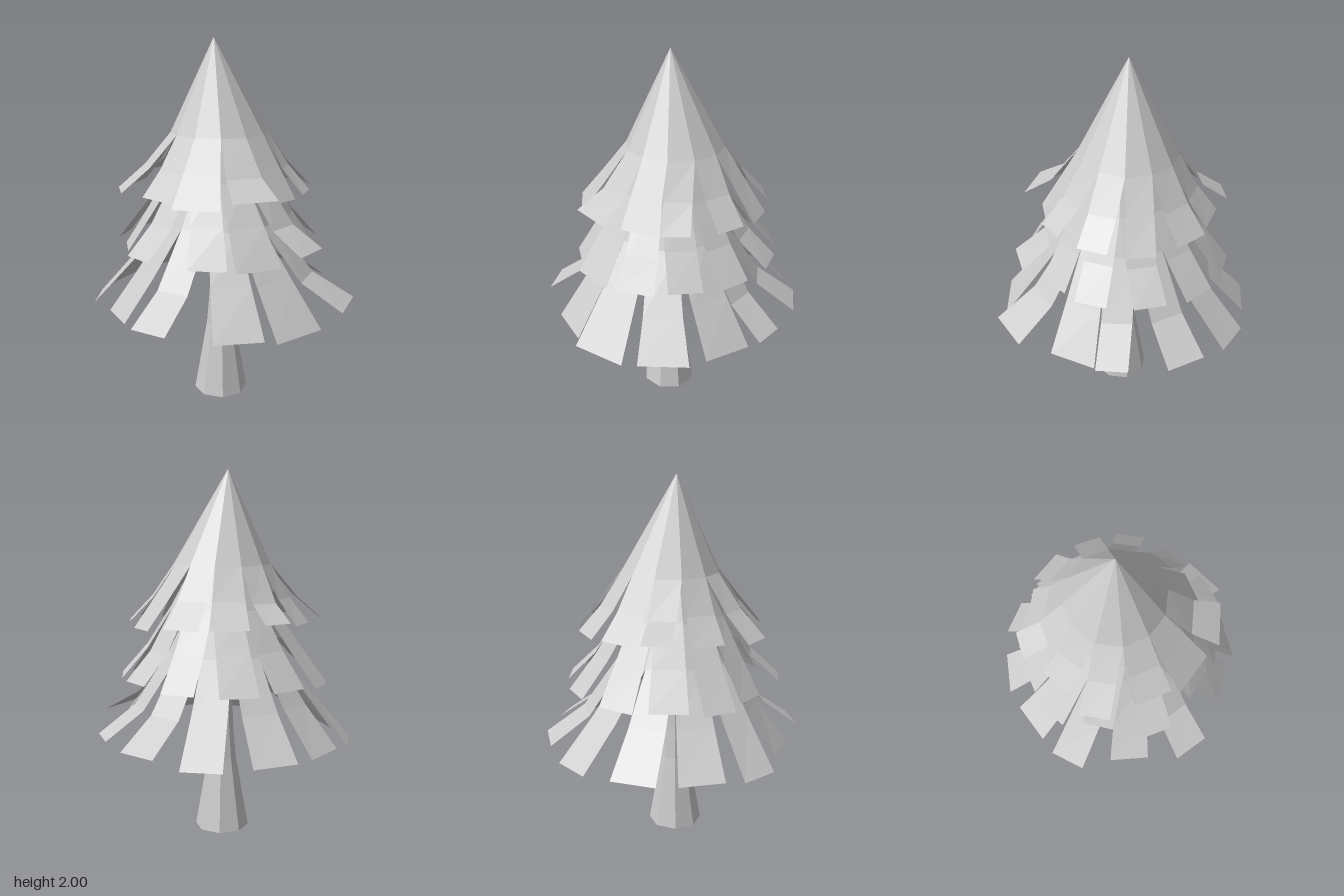
import * as THREE from 'three';

const material = new THREE.MeshStandardMaterial({
  color: 0xcccccc, flatShading: true, side: THREE.DoubleSide,
});
const SIDES = 12;

// Frond tips, from the front round to +x: [x, z, y] of the lower edge's middle, then its width
const topTips = [
  [0.075, 0.415, 1.18, 0.2], [0.27, 0.385, 1.2, 0.15], [0.47, 0.18, 1.2, 0.16],
  [0.515, -0.06, 1.18, 0.15], [0.42, -0.32, 1.2, 0.19], [0.22, -0.455, 1.2, 0.2],
  [0.005, -0.56, 1.23, 0.15], [-0.235, -0.43, 1.2, 0.18], [-0.465, -0.29, 1.2, 0.16],
  [-0.455, 0.03, 1.2, 0.2], [-0.385, 0.27, 1.18, 0.25], [-0.175, 0.48, 1.23, 0.24],
];
const middleTips = [
  [0.14, 0.565, 0.93, 0.21], [0.33, 0.38, 0.89, 0.18], [0.515, 0.195, 0.9, 0.17],
  [0.572, -0.105, 0.91, 0.17], [0.468, -0.37, 0.89, 0.18], [0.215, -0.545, 0.88, 0.2],
  [-0.06, -0.57, 0.89, 0.2], [-0.308, -0.505, 0.88, 0.175], [-0.44, -0.275, 0.88, 0.17],
  [-0.573, 0.028, 0.91, 0.165], [-0.365, 0.335, 0.88, 0.2], [-0.165, 0.5, 0.88, 0.245],
];
const bottomTips = [
  [-0.03, 0.66, 0.545, 0.3], [0.355, 0.64, 0.615, 0.26], [0.54, 0.3, 0.545, 0.26],
  [0.68, 0.1, 0.59, 0.17], [0.655, -0.29, 0.59, 0.215], [0.448, -0.575, 0.555, 0.21],
  [0.1, -0.695, 0.56, 0.24], [-0.238, -0.638, 0.555, 0.24], [-0.512, -0.49, 0.545, 0.2],
  [-0.605, -0.14, 0.55, 0.22], [-0.655, 0.222, 0.59, 0.205], [-0.32, 0.528, 0.545, 0.26],
];

// Each tier: an open cone, then one hanging frond per cone side
const tiers = [
  { name: 'topTier', apex: [-0.015, 2, -0.04], centre: [0.02, -0.035], ringY: 1.5, radius: 0.265,
    turn: 7, baseY: 1.18, tips: topTips },
  { name: 'middleTier', apex: [0, 1.8, -0.02], centre: [0.01, -0.02], ringY: 1.27, radius: 0.285,
    turn: 5, baseY: 0.88, tips: middleTips },
  { name: 'bottomTier', apex: [0, 1.6, 0], centre: [0, -0.01], ringY: 1.02, radius: 0.305,
    turn: -6, baseY: 0.545, tips: bottomTips },
];

function surface(points, faces, name) {
  const geometry = new THREE.BufferGeometry().setFromPoints(points);
  geometry.setIndex(faces);
  geometry.computeVertexNormals();
  const mesh = new THREE.Mesh(geometry, material);
  mesh.name = name;
  return mesh;
}

// Cone corner on the lower ring; half steps give the corners either side of a frond
function ringPoint(tier, step) {
  const a = THREE.MathUtils.degToRad(tier.turn) + (step * Math.PI * 2) / SIDES;
  return new THREE.Vector3(
    tier.centre[0] + tier.radius * Math.sin(a), tier.ringY,
    tier.centre[1] + tier.radius * Math.cos(a));
}

function createCone(tier) {
  const points = [new THREE.Vector3(...tier.apex)];
  const faces = [];
  for (let i = 0; i < SIDES; i++) {
    points.push(ringPoint(tier, i - 0.5));
    faces.push(0, 1 + i, 1 + ((i + 1) % SIDES));
  }
  return surface(points, faces, 'cone');
}

// Widening strip with one fold; the higher its tip, the more it flicks outward
function createFrond(tier, [x, z, y, width], i) {
  const top = [ringPoint(tier, i - 0.5), ringPoint(tier, i + 0.5)];
  const out = new THREE.Vector3(x - tier.centre[0], 0, z - tier.centre[1]).normalize();
  const across = new THREE.Vector3(out.z, 0, -out.x).multiplyScalar(width / 2);
  const tip = new THREE.Vector3(x, y, z);
  const low = [tip.clone().sub(across), tip.clone().add(across)];
  const drop = 0.5 + 3.5 * Math.min(y - tier.baseY, 0.05);
  const fold = top.map((p, k) => {
    const m = p.clone().lerp(low[k], 0.49);
    m.y = THREE.MathUtils.lerp(p.y, low[k].y, drop);
    return m;
  });
  return surface([...top, ...fold, ...low], [0, 2, 1, 1, 2, 3, 2, 4, 3, 3, 4, 5], 'frond');
}

export function createModel() {
  const model = new THREE.Group();
  model.name = 'pineTree';

  // Flared eight-sided trunk running up inside the foliage
  const profile = [[0, 0], [0.15, 0], [0.079, 0.41], [0.063, 0.6], [0.05, 1.3]]
    .map(([r, y]) => new THREE.Vector2(r, y));
  const trunk = new THREE.Mesh(
    new THREE.LatheGeometry(profile, 8, THREE.MathUtils.degToRad(10)), material);
  trunk.name = 'trunk';
  model.add(trunk);

  // Foliage tiers
  for (const tier of tiers) {
    const group = new THREE.Group();
    group.name = tier.name;
    group.add(createCone(tier));
    tier.tips.forEach((tip, i) => group.add(createFrond(tier, tip, i)));
    model.add(group);
  }
  return model;
}
